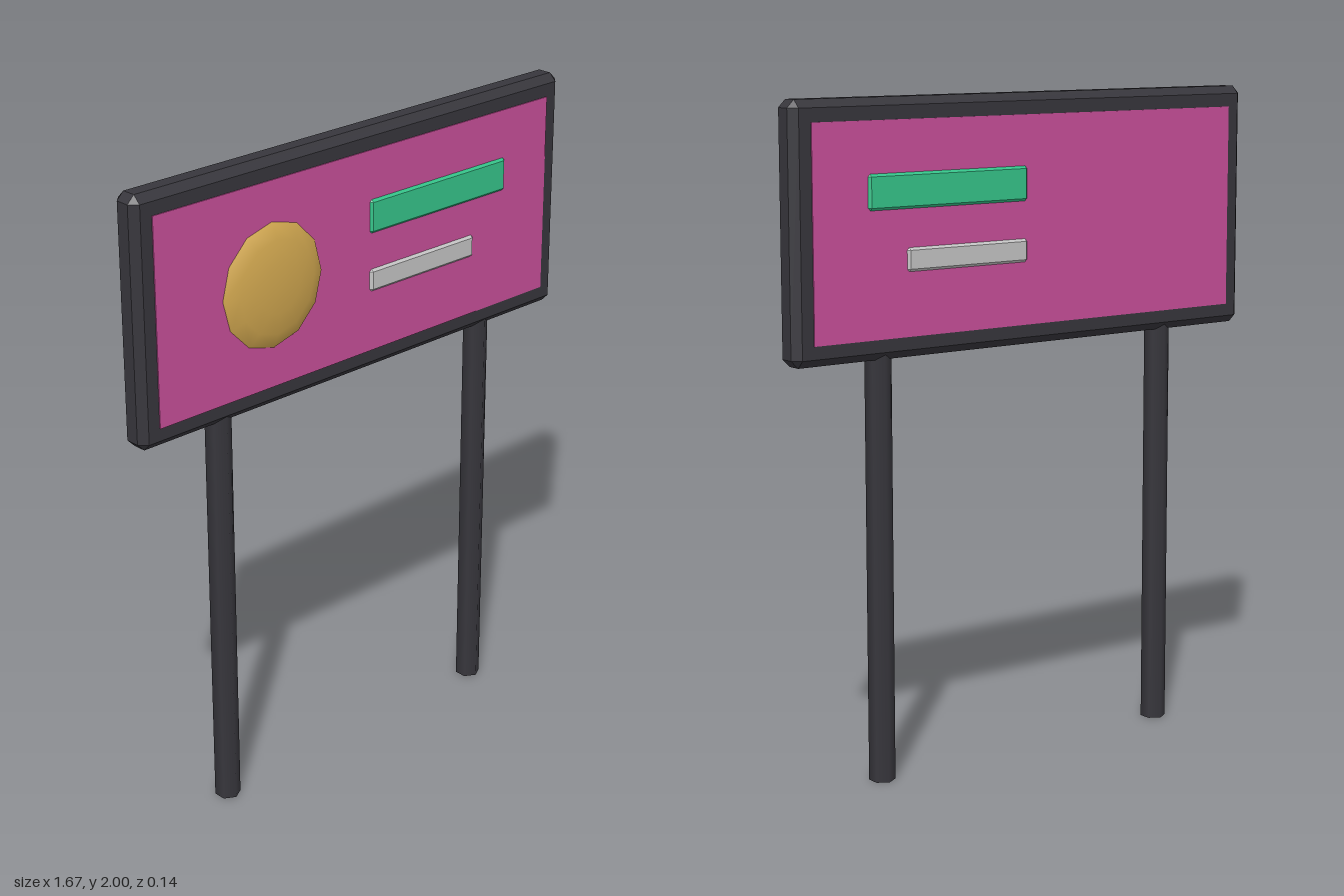
import * as THREE from 'three';
import { ConvexGeometry } from 'three/addons/geometries/ConvexGeometry.js';

const material = (name, color) => {
  const m = new THREE.MeshStandardMaterial({ color });
  m.name = name;
  return m;
};

// Box with every edge and corner cut flat
function chamferedBox(w, h, d, c) {
  const [x, y, z] = [w / 2, h / 2, d / 2];
  const points = [];
  for (const i of [-1, 1]) for (const j of [-1, 1]) for (const k of [-1, 1]) {
    points.push(
      new THREE.Vector3(i * x, j * (y - c), k * (z - c)),
      new THREE.Vector3(i * (x - c), j * y, k * (z - c)),
      new THREE.Vector3(i * (x - c), j * (y - c), k * z)
    );
  }
  return new ConvexGeometry(points);
}

export function createModel() {
  const group = new THREE.Group();
  group.name = 'billboard';
  const dark = material('charcoal', 0x37363c);
  const pink = material('pink', 0xc84f9a);
  const gold = material('gold', 0xd2a850);
  const green = material('green', 0x35c48a);
  const grey = material('lightGrey', 0xc5c5c5);
  const zMid = -0.0135;

  const add = (name, geometry, mat, x, y, z = zMid) => {
    const mesh = new THREE.Mesh(geometry, mat);
    mesh.name = name;
    mesh.position.set(x, y, z);
    group.add(mesh);
    return mesh;
  };

  // Frame and the panel that stands slightly proud on both faces
  add('frame', chamferedBox(1.67, 0.744, 0.09, 0.023), dark, 0, 1.628);
  add('panel', new THREE.BoxGeometry(1.546, 0.62, 0.096), pink, 0, 1.627);

  // Bars pass through the board and show on both sides
  add('upperBar', chamferedBox(0.566, 0.106, 0.111, 0.009), green, 0.307, 1.736);
  add('lowerBar', chamferedBox(0.434, 0.072, 0.111, 0.009), grey, 0.241, 1.539);

  // Flattened dome, front only
  const dome = new THREE.SphereGeometry(1, 12, 8);
  dome.rotateX(Math.PI / 2);
  dome.scale(0.197, 0.201, 0.049);
  add('dome', dome, gold, -0.352, 1.627, 0.02);

  // Six-sided posts
  for (const side of [-1, 1]) {
    add(side > 0 ? 'leftPost' : 'rightPost',
      new THREE.CylinderGeometry(0.039, 0.039, 1.3, 6), dark, side * 0.527, 0.65, -0.0115);
  }
  return group;
}
